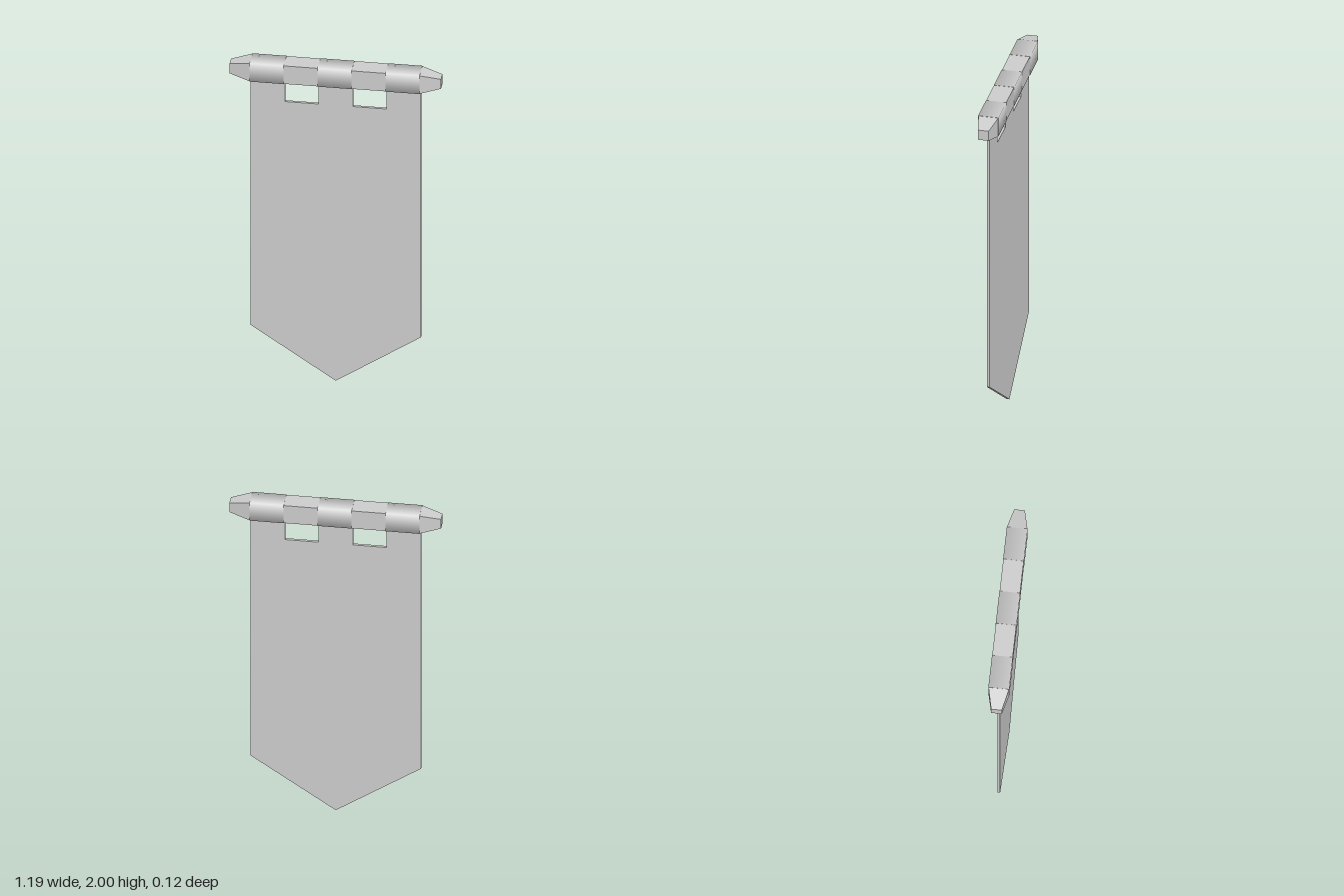
import * as THREE from 'three';

const POLE_Y = 1.942;

// Four-sided bar along x, with half-heights at its left (+x) and right (-x) ends
function squareBar(halfLeft, halfRight, length, flat) {
  let g = new THREE.CylinderGeometry(
    halfLeft * Math.SQRT2, halfRight * Math.SQRT2, length, 4, 1, false, Math.PI / 4);
  g.rotateZ(-Math.PI / 2);
  if (flat) {
    g = g.toNonIndexed();
    g.computeVertexNormals();
  }
  return g;
}

export function createModel() {
  const group = new THREE.Group();
  const grey = new THREE.MeshStandardMaterial({ color: 0xcccccc });
  grey.name = 'plain grey';

  const add = (name, geometry, x, y) => {
    const mesh = new THREE.Mesh(geometry, grey);
    mesh.name = name;
    mesh.position.set(x, y, 0);
    group.add(mesh);
  };

  // Pole with tapered tips
  add('pole', squareBar(0.057, 0.057, 0.952, true), 0, POLE_Y);
  add('leftPoleTip', squareBar(0.03, 0.057, 0.117, true), 0.5345, POLE_Y);
  add('rightPoleTip', squareBar(0.057, 0.03, 0.117, true), -0.5345, POLE_Y);

  // Softly shaded cloth loops around the pole
  const loop = squareBar(0.058, 0.058, 0.191, false);
  [['leftLoop', 0.381], ['middleLoop', 0], ['rightLoop', -0.381]]
    .forEach(([name, x]) => add(name, loop, x, POLE_Y));

  // Pointed cloth with three straps reaching up to the loops
  const strapTop = 1.89, notch = 1.746;
  const outline = [
    [0, 0], [0.478, 0.315], [0.478, strapTop], [0.284, strapTop], [0.284, notch],
    [0.097, notch], [0.097, strapTop], [-0.097, strapTop], [-0.097, notch],
    [-0.284, notch], [-0.284, strapTop], [-0.478, strapTop], [-0.478, 0.315],
  ];
  const shape = new THREE.Shape(outline.map(([x, y]) => new THREE.Vector2(x, y)));
  const cloth = new THREE.ExtrudeGeometry(shape, { depth: 0.016, bevelEnabled: false });
  cloth.translate(0, 0, -0.008);
  add('cloth', cloth, 0, 0);

  return group;
}
